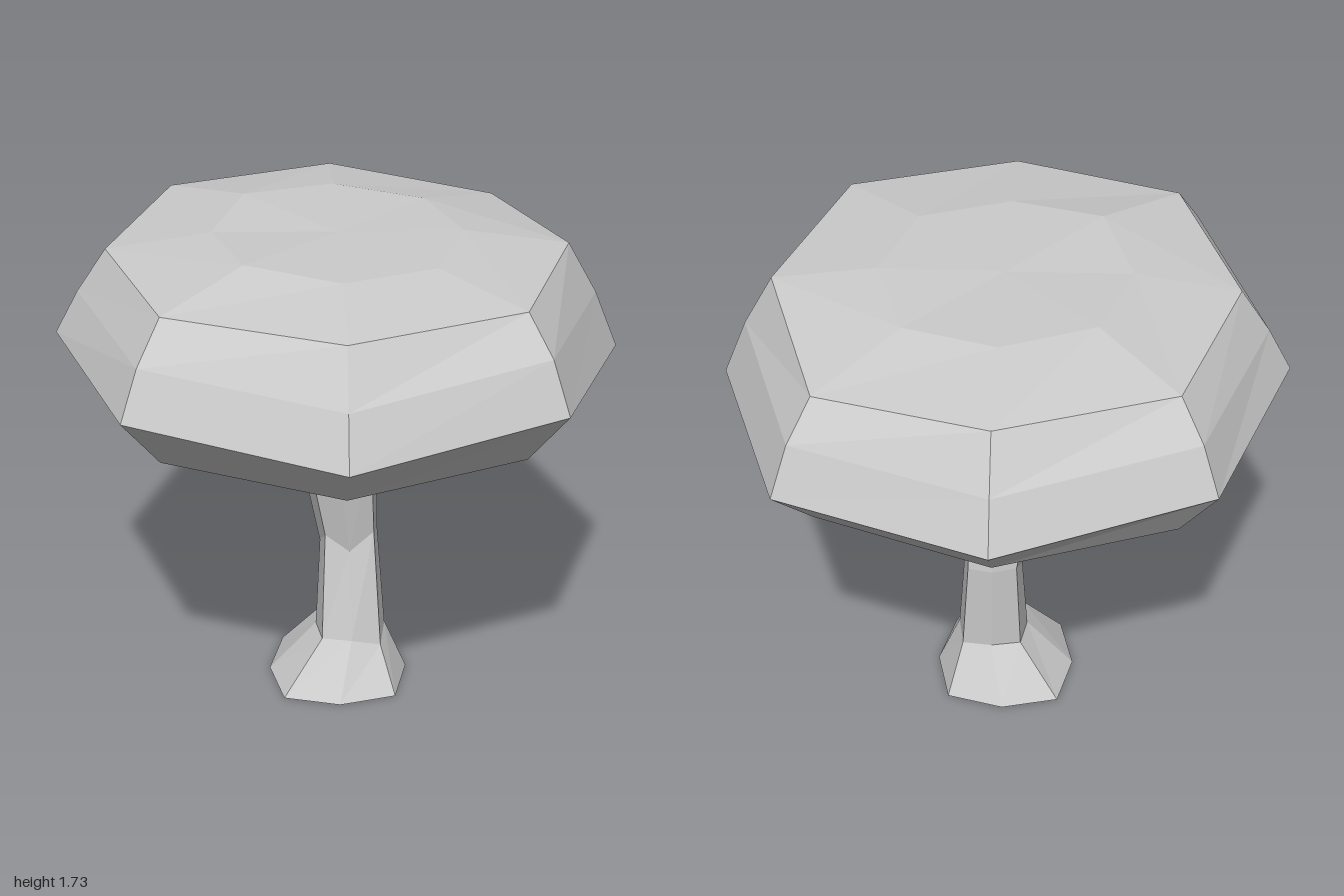
import * as THREE from 'three';

const SIDES = 8;

// An irregular octagon starting at +x and turning toward +z. rx, rz: half-widths; corner: share of
// them reached by the diagonal points; ys: eight heights (or one number).
function ring(rx, rz, ys, { cx = 0, cz = 0, corner = 0.74 } = {}) {
  return Array.from({ length: SIDES }, (_, k) => {
    const a = (k * Math.PI) / 4;
    const f = k % 2 ? corner / Math.SQRT1_2 : 1;
    return [cx + Math.cos(a) * rx * f, Array.isArray(ys) ? ys[k] : ys, cz + Math.sin(a) * rz * f];
  });
}

// Skins rings from bottom to top with flat facets; optional centre points close the ends.
function skin(rings, bottom, top) {
  const pos = [];
  const tri = (...points) => points.forEach((p) => pos.push(...p));
  const last = rings[rings.length - 1];
  for (let k = 0; k < SIDES; k++) {
    const n = (k + 1) % SIDES;
    for (let i = 0; i + 1 < rings.length; i++) {
      const lo = rings[i], up = rings[i + 1];
      tri(lo[k], up[k], lo[n]);
      tri(lo[n], up[k], up[n]);
    }
    if (bottom) tri(bottom, rings[0][k], rings[0][n]);
    if (top) tri(top, last[n], last[k]);
  }
  const geometry = new THREE.BufferGeometry();
  geometry.setAttribute('position', new THREE.Float32BufferAttribute(pos, 3));
  geometry.computeVertexNormals();
  return geometry;
}

export function createModel() {
  const group = new THREE.Group();
  group.name = 'tree';
  const grey = new THREE.MeshStandardMaterial({ color: 0xcccccc });
  grey.name = 'pale grey';

  // Shared ring where the trunk meets the canopy
  const neck = ring(0.135, 0.13, [0.94, 0.97, 0.9, 0.95, 0.89, 0.93, 0.93, 0.93], { corner: 0.83 });

  // Bent trunk with a flared foot
  const trunk = new THREE.Mesh(skin([
    ring(0.25, 0.262, 0, { corner: 0.8 }),
    ring(0.125, 0.137, [0.19, 0.16, 0.19, 0.19, 0.19, 0.19, 0.19, 0.18], { cx: 0.045, corner: 0.84 }),
    ring(0.103, 0.113, [0.56, 0.59, 0.52, 0.58, 0.51, 0.56, 0.55, 0.55], { cx: 0.04, cz: -0.045, corner: 0.84 }),
    neck,
  ], [0, 0, 0]), grey);
  trunk.name = 'trunk';
  group.add(trunk);

  // Wide faceted canopy: shallow underside, slanted wall, nearly flat crown
  const canopy = new THREE.Mesh(skin([
    neck,
    ring(0.25, 0.255, 1.04),
    ring(0.48, 0.49, 1.1),
    ring(0.8, 0.83, [1.135, 1.155, 1.13, 1.165, 1.14, 1.14, 1.13, 1.14]),
    ring(0.96, 1, [1.28, 1.36, 1.3, 1.36, 1.36, 1.36, 1.3, 1.3], { corner: 0.735 }),
    ring(0.88, 0.93, [1.48, 1.54, 1.48, 1.53, 1.51, 1.53, 1.48, 1.48]),
    ring(0.78, 0.825, [1.66, 1.67, 1.66, 1.67, 1.66, 1.66, 1.66, 1.615]),
    ring(0.425, 0.455, [1.71, 1.71, 1.71, 1.73, 1.715, 1.725, 1.715, 1.7]),
  ], null, [0, 1.71, 0]), grey);
  canopy.name = 'canopy';
  group.add(canopy);

  return group;
}
